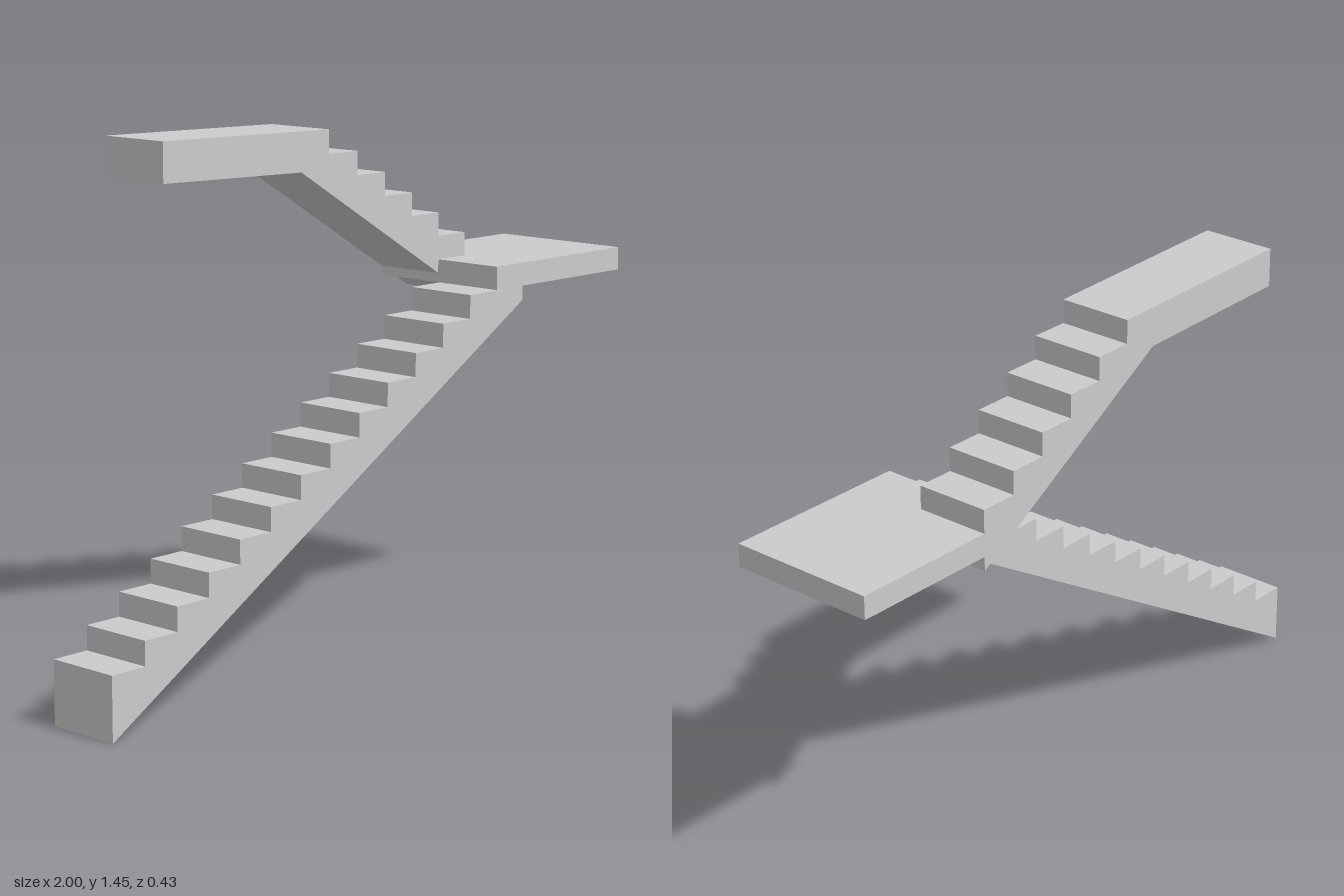
import * as THREE from 'three';

const WIDTH = 0.215;   // width of one flight
const RUN = 0.1119;    // tread depth
const RISE = 0.0662;   // riser height
const LANDING = { x0: 0.455, x1: 1, y0: 0.97, y1: 1.035 };
const FLIGHT_END = LANDING.x0 + RUN; // both flights meet the landing here
const SOFFIT_END = 0.93;             // lowest point of both flights at the landing

const material = new THREE.MeshStandardMaterial({ color: 0xcccccc, flatShading: true });

// Extrude a side profile (x, y) across the width of one flight, starting at z
function flight(name, points, z) {
  const shape = new THREE.Shape(points.map(([x, y]) => new THREE.Vector2(x, y)));
  const geometry = new THREE.ExtrudeGeometry(shape, { depth: WIDTH, bevelEnabled: false });
  geometry.translate(0, 0, z);
  const mesh = new THREE.Mesh(geometry, material);
  mesh.name = name;
  return mesh;
}

// Stepped outline: each step adds the top of its riser and the end of its tread
function steps(count, x, y, dx) {
  const points = [];
  for (let i = 0; i < count; i++) {
    points.push([x + i * dx, y + i * RISE], [x + (i + 1) * dx, y + i * RISE]);
  }
  return points;
}

export function createModel() {
  const group = new THREE.Group();
  group.name = 'staircase';

  // Lower flight: thirteen treads climbing to the landing, with a sloping soffit
  group.add(flight('lowerFlight', [
    [-1, 0],
    [FLIGHT_END, SOFFIT_END],
    [FLIGHT_END, LANDING.y0],
    ...steps(13, -1, LANDING.y1 - 13 * RISE, RUN).reverse(),
  ], 0));

  // Half landing across both flights
  const landing = new THREE.Mesh(
    new THREE.BoxGeometry(LANDING.x1 - LANDING.x0, LANDING.y1 - LANDING.y0, 2 * WIDTH), material);
  landing.position.set((LANDING.x0 + LANDING.x1) / 2, (LANDING.y0 + LANDING.y1) / 2, 0);
  landing.name = 'landing';
  group.add(landing);

  // Upper flight: five treads turning back, ending in a slightly rising top slab
  const topX = FLIGHT_END - 5 * RUN;
  group.add(flight('upperFlight', [
    [FLIGHT_END, SOFFIT_END],
    ...steps(5, FLIGHT_END, LANDING.y1 + RISE, -RUN),
    [topX, LANDING.y1 + 6 * RISE],
    [-0.605, 1.445],
    [-0.605, 1.337],
    [-0.1, 1.325],
  ], -WIDTH));

  return group;
}
